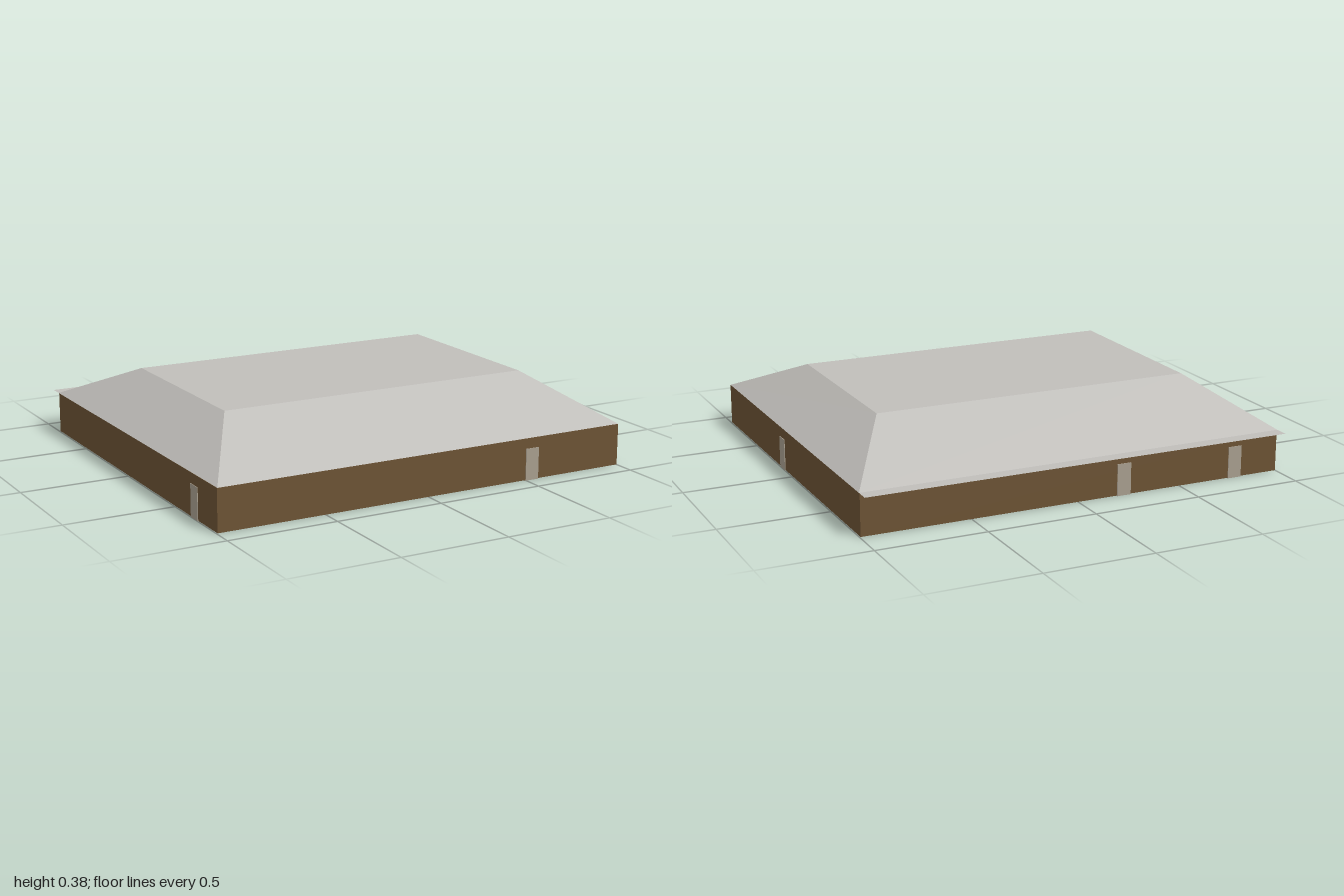
import * as THREE from 'three';

const FRONT = 0.905, BACK = -0.84, EAVE = 0.192, RIDGE = 0.376;

export function createModel() {
  const group = new THREE.Group();
  const material = (name, color, side = THREE.FrontSide) => {
    const m = new THREE.MeshStandardMaterial({ color, side });
    m.name = name;
    return m;
  };
  const brown = material('brown wall', 0x6b5233);
  const grey = material('grey roof', 0xc0beba, THREE.DoubleSide);
  const khaki = material('khaki floor', 0x8e866f);
  const tan = material('pale door', 0xa79d8d);

  const add = (name, geometry, mat, x, y, z) => {
    const mesh = new THREE.Mesh(geometry, mat);
    mesh.name = name;
    mesh.position.set(x, y, z);
    group.add(mesh);
    return mesh;
  };

  // Walls and underside
  const depth = FRONT - BACK, midZ = (FRONT + BACK) / 2;
  add('walls', new THREE.BoxGeometry(1.994, EAVE - 0.002, depth), brown, 0, EAVE / 2 + 0.001, midZ);
  const floor = add('floor', new THREE.PlaneGeometry(1.994, depth), khaki, 0, 0, midZ);
  floor.rotation.x = Math.PI / 2;

  // Hipped roof with a flat top: eave ring joined to top ring
  const eave = [[-0.995, FRONT], [0.997, FRONT], [1, BACK], [-1, BACK]];
  const top = [[-0.75, 0.47], [0.75, 0.47], [0.75, -0.41], [-0.75, -0.41]];
  const low = eave.map(([x, z]) => [x, EAVE, z]);
  const high = top.map(([x, z]) => [x, RIDGE, z]);
  const points = [];
  const quad = (a, b, c, d) => points.push(...a, ...b, ...c, ...a, ...c, ...d);
  for (let i = 0; i < 4; i++) {
    const j = (i + 1) % 4;
    quad(low[i], low[j], high[j], high[i]);
  }
  quad(...high);
  const roof = new THREE.BufferGeometry();
  roof.setAttribute('position', new THREE.Float32BufferAttribute(points, 3));
  roof.computeVertexNormals();
  add('roof', roof, grey, 0, 0, 0);

  // Flat eave overhanging the back wall
  const overhang = add('backEave', new THREE.PlaneGeometry(2, 0.065), grey, 0, EAVE, BACK - 0.0325);
  overhang.rotation.x = -Math.PI / 2;

  // Thin doors: one on the front and each side, two on the back
  const door = (name, x, z, alongX) => add(name,
    new THREE.BoxGeometry(alongX ? 0.066 : 0.006, 0.145, alongX ? 0.006 : 0.066), tan, x, 0.0725, z);
  door('frontDoor', 0.53, FRONT, true);
  door('leftDoor', 0.997, 0.13, false);
  door('rightDoor', -0.997, 0.69, false);
  for (const x of [-0.22, -0.78]) door('backDoor', x, BACK, true);

  return group;
}
